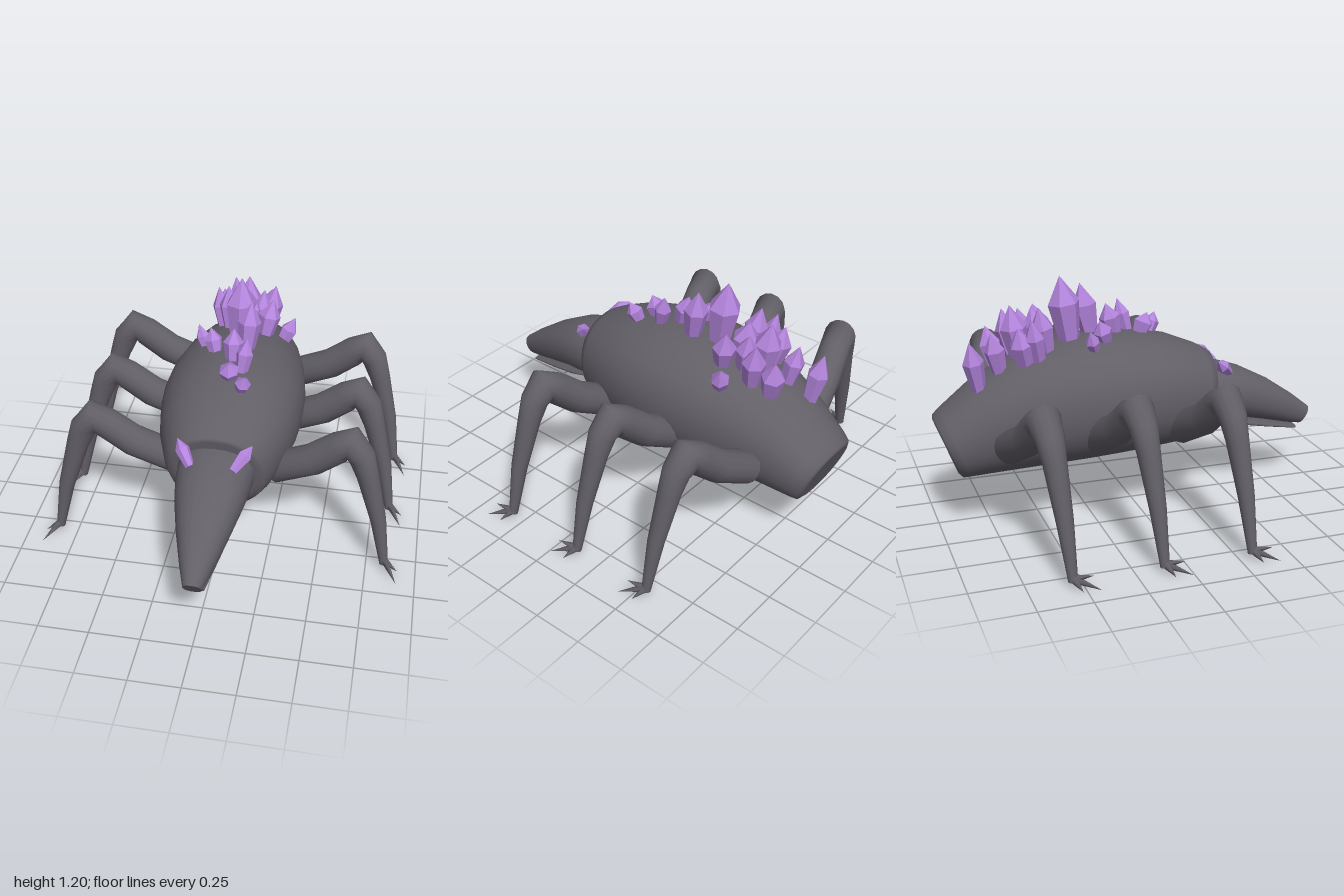
import * as THREE from 'three';

const V = (x, y, z) => new THREE.Vector3(x, y, z);

// Skin a list of rings; rings run anticlockwise when seen from the starting end
function skin(rings) {
  const n = rings[0].length, pos = [], idx = [];
  rings.forEach(r => r.forEach(p => pos.push(p.x, p.y, p.z)));
  for (let i = 0; i < rings.length - 1; i++) {
    for (let j = 0; j < n; j++) {
      const a = i * n + j, b = i * n + (j + 1) % n;
      idx.push(a, a + n, b, b, a + n, b + n);
    }
  }
  // Flat end caps with their own vertices
  [rings[0], rings[rings.length - 1]].forEach((r, end) => {
    const base = pos.length / 3, c = V(0, 0, 0);
    r.forEach(p => { c.add(p); pos.push(p.x, p.y, p.z); });
    c.divideScalar(n);
    pos.push(c.x, c.y, c.z);
    for (let j = 0; j < n; j++) {
      const a = base + j, b = base + (j + 1) % n;
      if (end) idx.push(base + n, b, a); else idx.push(base + n, a, b);
    }
  });
  const g = new THREE.BufferGeometry();
  g.setAttribute('position', new THREE.Float32BufferAttribute(pos, 3));
  g.setIndex(idx);
  g.computeVertexNormals();
  return g;
}

// Section rows: [topZ, topY, bottomZ, bottomY, halfWidth], from front to rear
function hull(rows, n, power) {
  const bend = v => Math.sign(v) * Math.pow(Math.abs(v), 2 / power);
  return skin(rows.map(([tz, ty, bz, by, w]) => {
    const ring = [];
    for (let j = 0; j < n; j++) {
      const a = j / n * Math.PI * 2, s = bend(Math.sin(a));
      ring.push(V(w * bend(Math.cos(a)), (ty + by) / 2 + s * (ty - by) / 2, (tz + bz) / 2 + s * (tz - bz) / 2));
    }
    return ring;
  }));
}

// Round limb along a path of [x, y, z, radius]
function limb(path, n) {
  const pts = path.map(p => V(p[0], p[1], p[2]));
  return skin(pts.map((p, i) => {
    const t = V(0, 0, 0);
    if (i > 0) t.add(p.clone().sub(pts[i - 1]).normalize());
    if (i < pts.length - 1) t.add(pts[i + 1].clone().sub(p).normalize());
    t.normalize();
    const u = t.clone().cross(V(0, 0, 1)).normalize(), v = u.clone().cross(t), ring = [];
    for (let j = 0; j < n; j++) {
      const a = j / n * Math.PI * 2;
      ring.push(p.clone().addScaledVector(u, Math.cos(a) * path[i][3]).addScaledVector(v, Math.sin(a) * path[i][3]));
    }
    return ring;
  }));
}

// Place a y-axis geometry (running 0 to 1 in y) between two points
function span(geometry, material, from, to, radius) {
  const m = new THREE.Mesh(geometry, material), d = to.clone().sub(from);
  m.position.copy(from);
  m.scale.set(radius, d.length(), radius);
  m.quaternion.setFromUnitVectors(V(0, 1, 0), d.normalize());
  return m;
}

export function createModel() {
  const model = new THREE.Group();
  const hide = new THREE.MeshStandardMaterial({ color: 0x625f67 });
  hide.name = 'greyHide';
  const gem = new THREE.MeshStandardMaterial({ color: 0xb384dc });
  gem.name = 'purpleCrystal';
  const add = (name, geometry, parent = model) => {
    const m = new THREE.Mesh(geometry, hide);
    m.name = name;
    parent.add(m);
  };

  // Barrel body: [topZ, topY, halfWidth] along an arched back over a straight, shorter belly
  const barrel = [
    [0.405, 0.77, 0.235], [0.36, 0.795, 0.265], [0.2, 0.86, 0.32], [0.05, 0.895, 0.348],
    [-0.1, 0.91, 0.36], [-0.27, 0.903, 0.355], [-0.45, 0.87, 0.33], [-0.63, 0.81, 0.292],
    [-0.8, 0.715, 0.25], [-0.96, 0.588, 0.208], [-0.995, 0.555, 0.193]
  ].map(([z, y, w]) => {
    const bellyZ = z * 0.87 - 0.01;
    return [z, y, bellyZ, 0.305 + 0.06 * bellyZ, w];
  });
  add('body', hull([
    [0.405, 0.75, 0.352, 0.36, 0.2],
    ...barrel,
    [-0.998, 0.535, -0.898, 0.275, 0.165]
  ], 28, 2.2));

  // Tapering head and thin lower jaw
  add('head', hull([
    [1.0, 0.395, 0.945, 0.305, 0.045],
    [0.9, 0.475, 0.87, 0.32, 0.077],
    [0.75, 0.577, 0.73, 0.357, 0.122],
    [0.6, 0.655, 0.58, 0.392, 0.16],
    [0.48, 0.694, 0.47, 0.4, 0.18],
    [0.34, 0.715, 0.34, 0.4, 0.19]
  ], 24, 2.2));
  add('lowerJaw', hull([
    [0.92, 0.303, 0.915, 0.285, 0.045],
    [0.75, 0.348, 0.73, 0.325, 0.085],
    [0.6, 0.39, 0.58, 0.361, 0.115],
    [0.45, 0.43, 0.43, 0.4, 0.12]
  ], 16, 2.5));

  // Three pairs of legs, each with a three-clawed foot
  const cone = new THREE.ConeGeometry(1, 1, 6).translate(0, 0.5, 0);
  const legPath = [
    [0.235, 0.445, 0.165, 0.05], [0.26, 0.46, 0.175, 0.08], [0.45, 0.565, 0.215, 0.08],
    [0.575, 0.675, 0.24, 0.077], [0.635, 0.715, 0.25, 0.082], [0.685, 0.65, 0.262, 0.066],
    [0.72, 0.55, 0.272, 0.055], [0.79, 0.3, 0.293, 0.04], [0.84, 0.03, 0.312, 0.022]
  ];
  const claws = [[0.908, 0.003, 0.425], [0.91, 0.008, 0.34], [0.87, 0.06, 0.4]];
  for (const side of [1, -1]) {
    ['front', 'middle', 'rear'].forEach((row, i) => {
      const leg = new THREE.Group();
      leg.name = row + (side > 0 ? 'LeftLeg' : 'RightLeg');
      leg.position.z = -0.43 * i;
      add('limb', limb(legPath.map(([x, y, z, r]) => [x * side, y, z, r]), 14), leg);
      claws.forEach(([x, y, z]) => {
        const claw = span(cone, hide, V(side * 0.843, 0.045, 0.312), V(side * x, y, z), 0.02);
        claw.name = 'claw';
        leg.add(claw);
      });
      model.add(leg);
    });
  }

  // Faceted crystal, widest above the middle
  const facets = new THREE.LatheGeometry(
    [[0, 0], [0.62, 0.02], [1, 0.62], [0, 1]].map(p => new THREE.Vector2(p[0], p[1])), 6).toNonIndexed();
  facets.computeVertexNormals();
  const crystals = new THREE.Group();
  crystals.name = 'backCrystals';
  // Tips as [x, y, z, radius]; each root sits just under the curved back, nearer the middle
  [
    [-0.11, 0.945, -0.83, 0.052], [-0.07, 0.97, -0.72, 0.05], [0.11, 0.96, -0.71, 0.058],
    [0, 1.08, -0.61, 0.068], [0.14, 1.03, -0.62, 0.058], [-0.13, 1.0, -0.6, 0.06],
    [0.26, 0.91, -0.51, 0.045], [0.15, 1.04, -0.46, 0.058], [-0.09, 1.08, -0.49, 0.058],
    [0.02, 1.06, -0.5, 0.066], [0.09, 1.04, -0.55, 0.055], [-0.15, 1.04, -0.54, 0.05],
    [0, 1.205, -0.36, 0.08], [0.07, 1.145, -0.24, 0.06], [-0.205, 0.97, -0.27, 0.036],
    [-0.13, 1.0, -0.2, 0.046], [0, 1.05, -0.13, 0.052], [0.08, 1.05, -0.045, 0.042],
    [0.01, 0.985, 0.09, 0.05], [0.1, 0.96, 0.16, 0.04]
  ].forEach(([x, y, z, r], i) => {
    const rootX = x * 0.7, rootZ = z - 0.05 * Math.sign(z);
    const rootY = 0.87 - 0.4 * (rootZ + 0.1) ** 2 - 2 * rootX ** 2;
    const c = span(facets, gem, V(rootX, rootY, rootZ), V(x, y, z), r);
    c.rotateY(i * 0.7);
    c.name = 'crystal';
    crystals.add(c);
  });
  model.add(crystals);

  // Small crystal horns behind the brow
  for (const side of [1, -1]) {
    const horn = span(facets, gem, V(side * 0.1, 0.66, 0.495), V(side * 0.18, 0.75, 0.4), 0.035);
    horn.name = side > 0 ? 'leftHorn' : 'rightHorn';
    model.add(horn);
  }
  return model;
}
